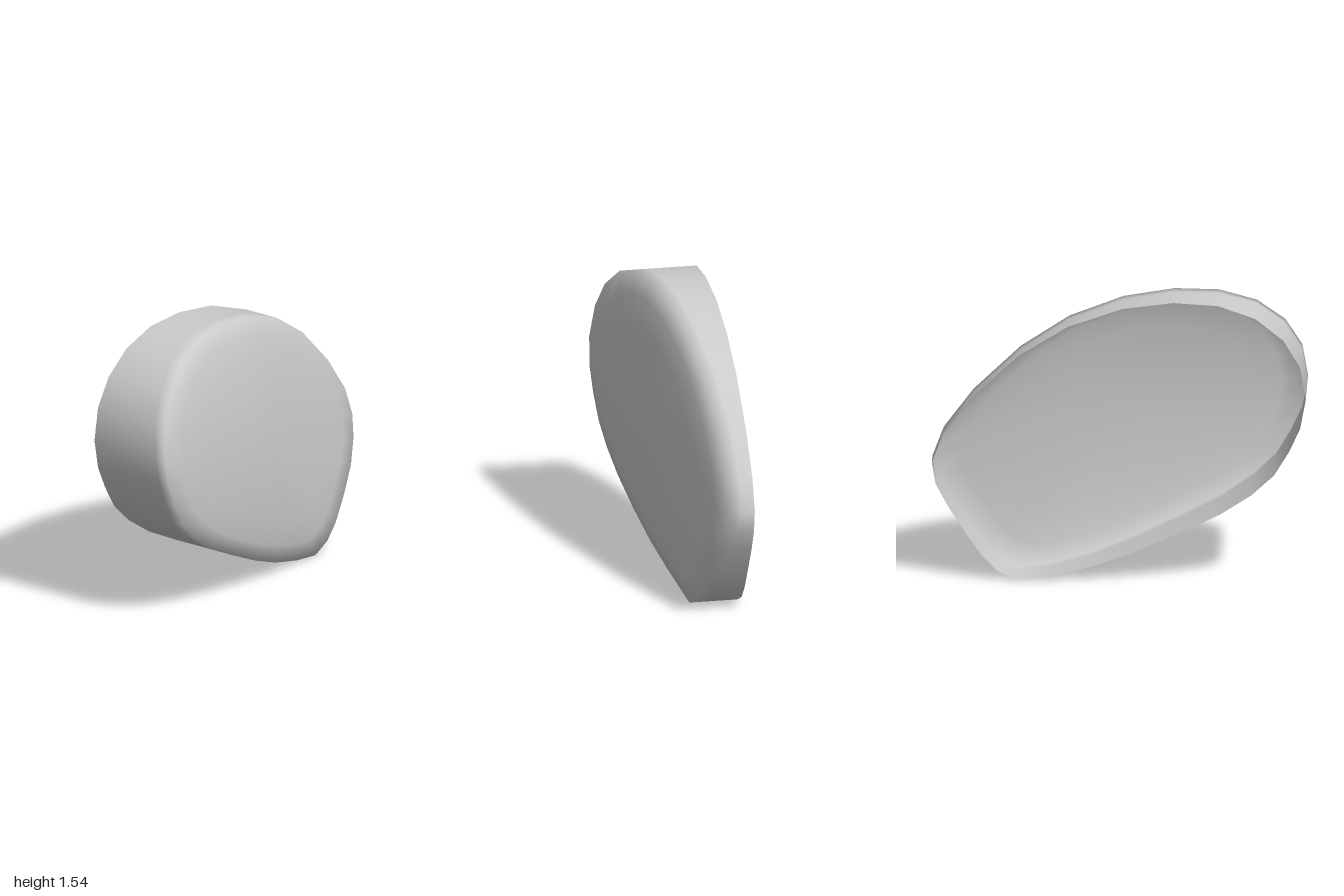
import * as THREE from 'three';

// Rim of the shell, clockwise seen from +x: [z, y, x of the rim]
const RIM = [
  [1, 1.01, 0.24], [0.97, 1.19, 0.215], [0.88, 1.34, 0.18], [0.73, 1.46, 0.13],
  [0.53, 1.53, 0.08], [0.29, 1.545, 0.045], [0.02, 1.51, 0.01], [-0.27, 1.41, -0.03],
  [-0.53, 1.25, -0.07], [-0.78, 1.02, -0.1], [-0.94, 0.81, -0.11], [-1, 0.65, -0.11],
  [-0.98, 0.53, -0.085], [-0.91, 0.4, -0.045], [-0.82, 0.26, -0.02], [-0.73, 0.13, -0.003],
  [-0.65, 0.05, 0.005], [-0.54, 0, 0.012], [-0.37, 0.02, 0.025], [-0.15, 0.075, 0.058],
  [0.07, 0.155, 0.1], [0.31, 0.26, 0.142], [0.54, 0.37, 0.178], [0.71, 0.48, 0.205],
  [0.83, 0.59, 0.224], [0.91, 0.72, 0.237], [0.97, 0.85, 0.244],
];
const OPEN_X = -0.25;
const CENTRE_Y = 0.83;

// Slanted plane the middle of the cap lies on
const capPlane = (z, y) => 0.13 + 0.17 * z - 0.05 * (y - CENTRE_Y);

function shellGeometry() {
  const n = RIM.length;
  const positions = [];
  const index = [];

  // Straight side wall, from the open edge to just below the rim
  for (const [z, y] of RIM) positions.push(OPEN_X, y, z);
  for (const [z, y, x] of RIM) positions.push(Math.max(OPEN_X + 0.07, x - 0.07), y, z);

  // Cap rings shrinking towards the centre and rising to the slanted plane
  const scales = [1, 0.86, 0.68, 0.35];
  for (const s of scales) {
    for (const [rz, ry, rx] of RIM) {
      const z = rz * s;
      const y = CENTRE_Y + (ry - CENTRE_Y) * s;
      positions.push(capPlane(z, y) + (rx - capPlane(rz, ry)) * s ** 3, y, z);
    }
  }

  const rings = scales.length + 2;
  for (let k = 0; k < rings - 1; k++) {
    for (let i = 0; i < n; i++) {
      const j = (i + 1) % n;
      const a = k * n + i, b = k * n + j, c = a + n, d = b + n;
      index.push(a, c, b, b, c, d);
    }
  }

  // Centre fan
  const centre = rings * n;
  positions.push(capPlane(0, CENTRE_Y), CENTRE_Y, 0);
  for (let i = 0; i < n; i++) {
    index.push((rings - 1) * n + i, centre, (rings - 1) * n + ((i + 1) % n));
  }

  const geometry = new THREE.BufferGeometry();
  geometry.setAttribute('position', new THREE.Float32BufferAttribute(positions, 3));
  geometry.setIndex(index);
  geometry.computeVertexNormals();
  return geometry;
}

export function createModel() {
  const group = new THREE.Group();
  group.name = 'openShell';
  const shell = new THREE.Mesh(
    shellGeometry(),
    new THREE.MeshStandardMaterial({ color: 0xcccccc, side: THREE.DoubleSide })
  );
  shell.name = 'shell';
  group.add(shell);
  return group;
}
